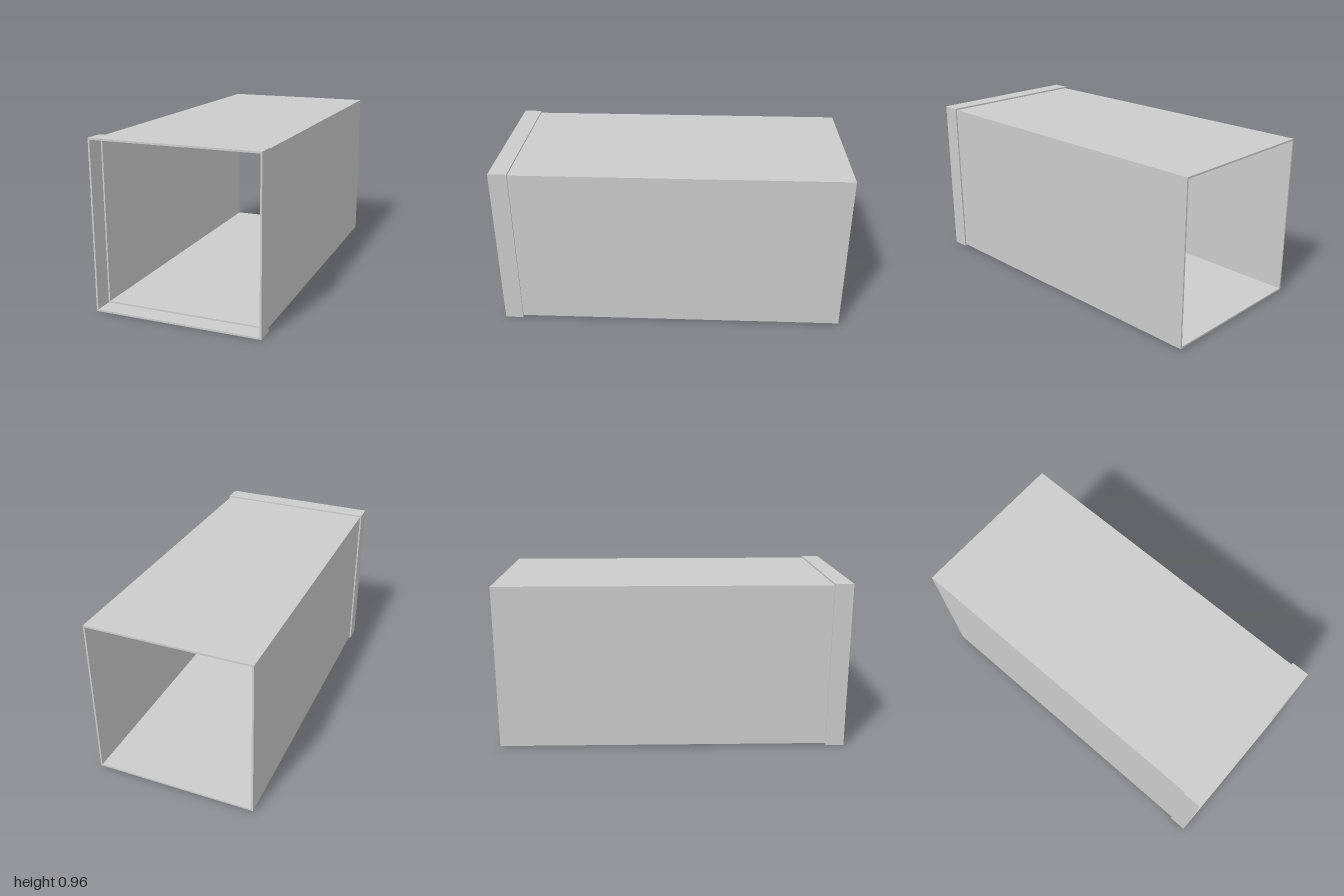
import * as THREE from 'three';

const CENTRE_Y = 0.479;

// Square frame of the given half sizes, extruded along z
function squareSleeve(name, outer, inner, zBack, zFront, material) {
  const square = (Type, h) => new Type([
    new THREE.Vector2(-h, -h), new THREE.Vector2(h, -h),
    new THREE.Vector2(h, h), new THREE.Vector2(-h, h),
  ]);
  const shape = square(THREE.Shape, outer);
  shape.holes.push(square(THREE.Path, inner));
  const geometry = new THREE.ExtrudeGeometry(shape, { depth: zFront - zBack, bevelEnabled: false });
  const mesh = new THREE.Mesh(geometry, material);
  mesh.name = name;
  mesh.position.set(0, CENTRE_Y, zBack);
  return mesh;
}

export function createModel() {
  const group = new THREE.Group();
  group.name = 'squareDuct';
  const material = new THREE.MeshStandardMaterial({ color: 0xcccccc });

  // Long thin-walled duct, open at both ends
  group.add(squareSleeve('duct', 0.47, 0.46, -1, 0.895, material));

  // Wider socket collar at the front, its bore matching the duct's outside
  group.add(squareSleeve('socketCollar', 0.479, 0.469, 0.895, 1, material));
  return group;
}
